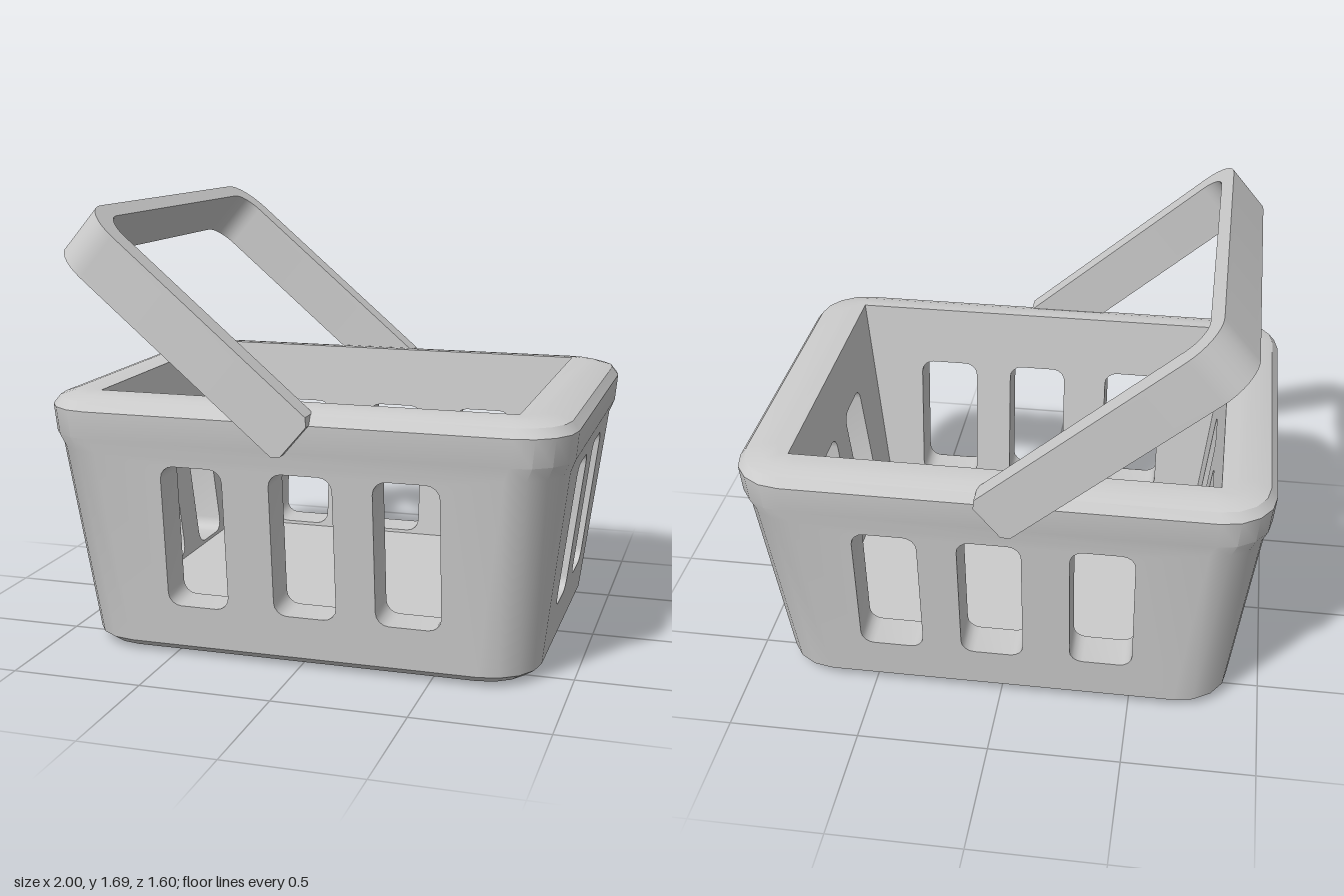
import * as THREE from 'three';
import { mergeGeometries, toCreasedNormals } from 'three/addons/utils/BufferGeometryUtils.js';

const material = new THREE.MeshStandardMaterial({ color: 0xcccccc });

// Counter-clockwise rounded rectangle, n segments per corner
function roundRect(cx, cy, hx, hy, r, n) {
  const pts = [];
  [[1, 1], [-1, 1], [-1, -1], [1, -1]].forEach(([sx, sy], k) => {
    for (let i = 0; i <= n; i++) {
      const a = (k + i / n) * Math.PI / 2;
      pts.push(new THREE.Vector2(cx + sx * (hx - r) + r * Math.cos(a), cy + sy * (hy - r) + r * Math.sin(a)));
    }
  });
  return pts;
}

// Geometry from a list of triangles' corner points
function fromPoints(points) {
  return new THREE.BufferGeometry().setFromPoints(points);
}
const quad = (out, a, b, c, d) => out.push(a, b, c, a, c, d);

// Keep positions only so that pieces can be merged
function bare(g) {
  const h = g.index ? g.toNonIndexed() : g;
  h.deleteAttribute('uv');
  h.deleteAttribute('normal');
  return h;
}

const SEG = 4;
// Outer profile: y, half width, half depth, corner radius
const PROFILE = [
  [0, 0.74, 0.56, 0.12],
  [0.012, 0.835, 0.64, 0.17],
  [0.04, 0.875, 0.675, 0.2],
  [0.79, 0.97, 0.75, 0.2],
  [0.84, 0.99, 0.763, 0.2],
  [0.945, 1.0, 0.768, 0.2],
  [0.978, 0.975, 0.742, 0.18],
  [0.994, 0.925, 0.695, 0.15],
  [1.0, 0.86, 0.65, 0.1],
];
const WALL = 2; // profile band that holds the windows
// Inner cavity: y, half width, half depth
const FLOOR = [0.19, 0.7, 0.537];
const MOUTH = [1.0, 0.797, 0.615];

// Window spans along x (long walls) and z (short walls)
const LONG_WINDOWS = [[-0.51, -0.27], [-0.09, 0.15], [0.3, 0.545]];
const SHORT_WINDOWS = [[-0.33, -0.09], [0.07, 0.31]];

// Outer skin: rings joined along the profile, leaving the flat walls open
function outerSkin() {
  const rings = PROFILE.map(([y, hx, hz, r]) =>
    roundRect(0, 0, hx, hz, r, SEG).map(p => new THREE.Vector3(p.x, y, p.y)));
  const out = [], count = rings[0].length;
  for (let j = 0; j < count; j++) {
    const k = (j + 1) % count;
    out.push(new THREE.Vector3(), rings[0][j], rings[0][k]);
    for (let i = 0; i + 1 < rings.length; i++) {
      if (i === WALL && j % (SEG + 1) === SEG) continue;
      quad(out, rings[i][j], rings[i + 1][j], rings[i + 1][k], rings[i][k]);
    }
  }
  return fromPoints(out);
}

// Sloping trapezoid with holes; each end is [y, half width, distance from centre]
function panel(low, high, holes, inward) {
  const s = inward ? -1 : 1;
  const shape = new THREE.Shape([
    new THREE.Vector2(-low[1], low[0]), new THREE.Vector2(low[1], low[0]),
    new THREE.Vector2(high[1], high[0]), new THREE.Vector2(-high[1], high[0]),
  ]);
  shape.holes = holes.map(h => new THREE.Path(h.map(p => new THREE.Vector2(s * p.x, p.y))));
  const g = new THREE.ShapeGeometry(shape);
  if (inward) g.rotateY(Math.PI);
  const pos = g.attributes.position;
  for (let i = 0; i < pos.count; i++) pos.setZ(i, depthAt(low, high, pos.getY(i)));
  return bare(g);
}
function depthAt(low, high, y) {
  return low[2] + (high[2] - low[2]) * (y - low[0]) / (high[0] - low[0]);
}

// One wall facing +z, with inner face, outer face and window reveals, turned into place
function wall(long, angle, sign) {
  const pick = ([y, hx, hz, r = 0]) => long ? [y, hx - r, hz] : [y, hz - r, hx];
  const outLow = pick(PROFILE[WALL]), outHigh = pick(PROFILE[WALL + 1]);
  const inLow = pick(FLOOR), inHigh = pick(MOUTH);
  const holes = (long ? LONG_WINDOWS : SHORT_WINDOWS).map(([a, b]) =>
    roundRect(sign * (a + b) / 2, 0.479, (b - a) / 2, 0.276, 0.05, 4));
  // depthAt measures the distance of each skin, so fix the outer one by profile radius
  const reveal = [];
  for (const h of holes) {
    h.forEach((p, i) => {
      const q = h[(i + 1) % h.length];
      const inner = v => new THREE.Vector3(v.x, v.y, depthAt(inLow, inHigh, v.y));
      const outer = v => new THREE.Vector3(v.x, v.y, depthAt(outLow, outHigh, v.y));
      quad(reveal, inner(p), outer(p), outer(q), inner(q));
    });
  }
  return mergeGeometries([
    panel(outLow, outHigh, holes, false),
    panel(inLow, inHigh, holes, true),
    fromPoints(reveal),
  ]).rotateY(angle);
}

// Flat top of the rim around the mouth
function rimTop() {
  const [y, hx, hz, r] = PROFILE[PROFILE.length - 1];
  const shape = new THREE.Shape(roundRect(0, 0, hx, hz, r, SEG));
  const [, mx, mz] = MOUTH;
  shape.holes.push(new THREE.Path([[-mx, -mz], [-mx, mz], [mx, mz], [mx, -mz]]
    .map(([a, b]) => new THREE.Vector2(a, b))));
  return bare(new THREE.ShapeGeometry(shape).rotateX(-Math.PI / 2).translate(0, y, 0));
}

// Squared U-shaped handle, tilted towards -x
function handleGeometry() {
  const length = 1.12, width = 0.2, chamfer = 0.025;
  const s = new THREE.Shape();
  s.moveTo(0.8, 0);
  s.lineTo(0.8, length - 0.15);
  s.absarc(0.65, length - 0.15, 0.15, 0, Math.PI / 2);
  s.lineTo(-0.65, length);
  s.absarc(-0.65, length - 0.15, 0.15, Math.PI / 2, Math.PI);
  s.lineTo(-0.8, 0);
  s.lineTo(-0.71, 0);
  s.lineTo(-0.71, length - 0.16);
  s.absarc(-0.61, length - 0.16, 0.1, Math.PI, Math.PI / 2, true);
  s.lineTo(0.61, length - 0.06);
  s.absarc(0.61, length - 0.16, 0.1, Math.PI / 2, 0, true);
  s.lineTo(0.71, 0);
  const g = new THREE.ExtrudeGeometry(s, { depth: width, steps: 8, curveSegments: 4, bevelEnabled: false });
  // Chamfer the free ends of both arms
  const pos = g.attributes.position;
  for (let i = 0; i < pos.count; i++) {
    const z = pos.getZ(i);
    if (pos.getY(i) < 1e-4 && (z < 1e-4 || z > width - 1e-4)) pos.setY(i, chamfer);
  }
  g.translate(0, 0, -width / 2);
  const along = new THREE.Vector3(-0.76, 0.65, 0).normalize();
  const across = new THREE.Vector3(0, 0, 1);
  g.applyMatrix4(new THREE.Matrix4()
    .makeBasis(across, along, across.clone().cross(along))
    .setPosition(0.025, 0.89, 0));
  return toCreasedNormals(bare(g), 0.5);
}

export function createModel() {
  const group = new THREE.Group();
  group.name = 'basket';
  const add = (name, geometry) => {
    const mesh = new THREE.Mesh(geometry, material);
    mesh.name = name;
    group.add(mesh);
  };
  const floor = bare(new THREE.PlaneGeometry(2 * FLOOR[1], 2 * FLOOR[2])
    .rotateX(-Math.PI / 2).translate(0, FLOOR[0], 0));
  const body = mergeGeometries([
    outerSkin(), rimTop(), floor,
    wall(true, 0, 1), wall(true, Math.PI, -1),
    wall(false, Math.PI / 2, -1), wall(false, -Math.PI / 2, 1),
  ]);
  add('basketBody', toCreasedNormals(body, 0.5));
  add('handle', handleGeometry());
  return group;
}
